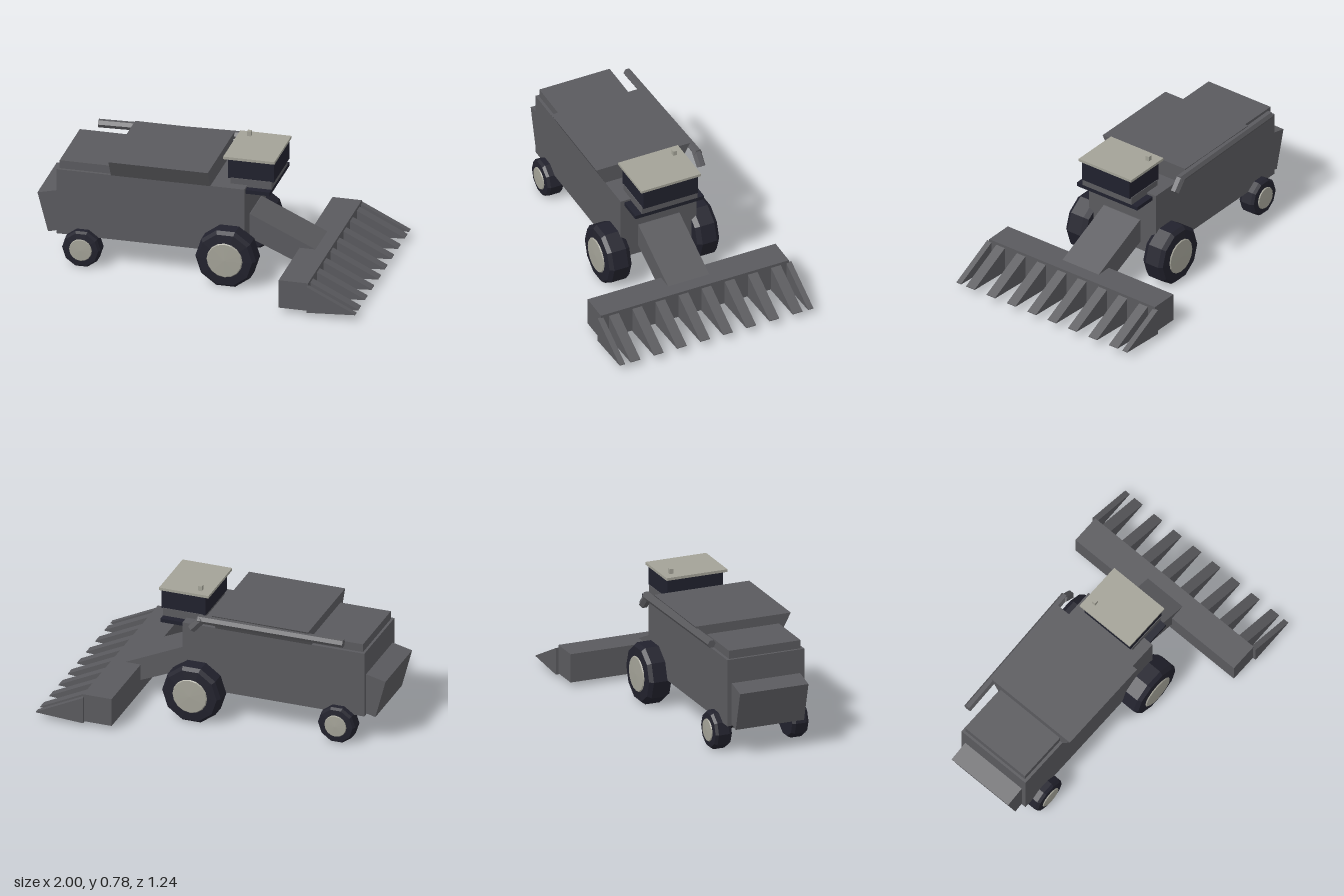
import * as THREE from 'three';

const mat = (name, color, extra = {}) => {
  const m = new THREE.MeshStandardMaterial({ color, flatShading: true, ...extra });
  m.name = name;
  return m;
};

export function createModel() {
  const body = mat('body grey', 0x5a5a5e);
  const rubber = mat('tyre rubber', 0x22222d);
  const glass = mat('cab glass', 0x20212d);
  const black = mat('chassis black', 0x1b1b20);
  const pale = mat('pale roof and hubs', 0xa3a297);

  const root = new THREE.Group();
  root.name = 'combineHarvester';

  const add = (name, geometry, material, parent = root) => {
    const mesh = new THREE.Mesh(geometry, material);
    mesh.name = name;
    parent.add(mesh);
    return mesh;
  };
  // Box given by its limits on each axis
  const box = (name, [x0, x1], [y0, y1], [z0, z1], material) => {
    const g = new THREE.BoxGeometry(x1 - x0, y1 - y0, z1 - z0);
    g.translate((x0 + x1) / 2, (y0 + y1) / 2, (z0 + z1) / 2);
    return add(name, g, material);
  };
  // Side profile in x and y, extruded across z
  const slab = (name, points, z, width, material) => {
    const shape = new THREE.Shape(points.map(([x, y]) => new THREE.Vector2(x, y)));
    const g = new THREE.ExtrudeGeometry(shape, { depth: width, bevelEnabled: false });
    g.translate(0, 0, z - width / 2);
    return add(name, g, material);
  };
  // Six-sided pipe between two points
  const pipe = (name, a, b, r, material, sides = 6) => {
    const from = new THREE.Vector3(...a), to = new THREE.Vector3(...b);
    const dir = to.clone().sub(from);
    const mesh = add(name, new THREE.CylinderGeometry(r, r, dir.length(), sides), material);
    mesh.position.copy(from).add(to).multiplyScalar(0.5);
    mesh.quaternion.setFromUnitVectors(new THREE.Vector3(0, 1, 0), dir.normalize());
    return mesh;
  };

  // Main hull, underside and rear hood
  box('hull', [-0.88, 0.24], [0.175, 0.58], [-0.243, 0.243], body);
  box('chassis', [-0.85, 0.2], [0.158, 0.178], [-0.205, 0.205], black);
  slab('rearHood', [[-0.88, 0.435], [-1, 0.407], [-0.937, 0.168], [-0.88, 0.183]], 0, 0.43, body);
  box('engineDeck', [-0.865, -0.55], [0.575, 0.63], [-0.225, 0.225], body);

  // Grain tank with sides flaring outwards
  const tank = new THREE.BoxGeometry(0.592, 0.107, 0.6);
  const p = tank.attributes.position;
  for (let i = 0; i < p.count; i++) if (p.getY(i) < 0) p.setZ(i, Math.sign(p.getZ(i)) * 0.243);
  tank.translate(-0.259, 0.632, 0);
  add('grainTank', tank, body);

  // Unloading auger and its spout
  pipe('auger', [-0.77, 0.65, -0.292], [0.115, 0.66, -0.315], 0.025, body);
  pipe('augerSpout', [0.09, 0.665, -0.312], [0.155, 0.592, -0.314], 0.028, body);

  // Cab
  box('cabFloor', [0.235, 0.385], [0.545, 0.568], [-0.22, 0.22], glass);
  box('cabSkirt', [0.14, 0.385], [0.568, 0.616], [-0.178, 0.178], body);
  box('cabGlass', [0.125, 0.397], [0.612, 0.736], [-0.174, 0.174], glass);
  box('cabRoof', [0.1, 0.405], [0.734, 0.75], [-0.191, 0.191], pale);
  box('beacon', [0.158, 0.182], [0.75, 0.78], [-0.147, -0.123], pale);

  // Feeder house and header
  slab('feederHouse', [[0.2, 0.21], [0.24, 0.23], [0.61, 0.07], [0.645, 0.195], [0.245, 0.378], [0.2, 0.378]], 0, 0.264, body);
  box('header', [0.54, 0.715], [0.027, 0.2], [-0.602, 0.602], body);

  // Row dividers: wedges that taper to a level tip
  const divider = [[0.71, 0.022], [1, 0.04], [1, 0.044], [0.71, 0.185]];
  for (const side of [-1, 1]) {
    for (const z of [0.073, 0.222, 0.37, 0.519]) slab('rowDivider', divider, side * z, 0.062, body);
    slab('endDivider', divider, side * 0.603, 0.034, body);
  }

  // Wheels: ten-sided tyres with shallow domed hubs
  const wheel = (name, x, r, inner, outer, side) => {
    const group = new THREE.Group();
    group.name = name;
    const w = outer - inner, h = w / 2;
    const profile = [
      [0, -h], [0.6 * r, -h], [0.9 * r, -h], [r, -0.62 * h],
      [r, 0.62 * h], [0.9 * r, 0.93 * h], [0.6 * r, h], [0, h],
    ].map(([a, b]) => new THREE.Vector2(a, b));
    add('tyre', new THREE.LatheGeometry(profile, 10), rubber, group);
    const dome = [[0.59 * r, h], [0.56 * r, h + 0.006], [0, h + 0.009]].map(([a, b]) => new THREE.Vector2(a, b));
    add('hub', new THREE.LatheGeometry(dome, 16), pale, group);
    // A vertex starts on the level axis so a flat sits on the ground
    group.children.forEach((m) => m.geometry.rotateY(Math.PI / 2));
    group.rotation.x = side * Math.PI / 2;
    group.position.set(x, r * Math.cos(Math.PI / 10), side * (inner + outer) / 2);
    root.add(group);
  };
  for (const side of [-1, 1]) {
    wheel('frontWheel', 0.152, 0.181, 0.21, 0.356, side);
    wheel('rearWheel', -0.722, 0.115, 0.19, 0.296, side);
  }
  pipe('frontAxle', [0.152, 0.172, -0.22], [0.152, 0.172, 0.22], 0.03, black, 8);
  pipe('rearAxle', [-0.722, 0.125, -0.2], [-0.722, 0.125, 0.2], 0.025, black, 8);

  return root;
}
